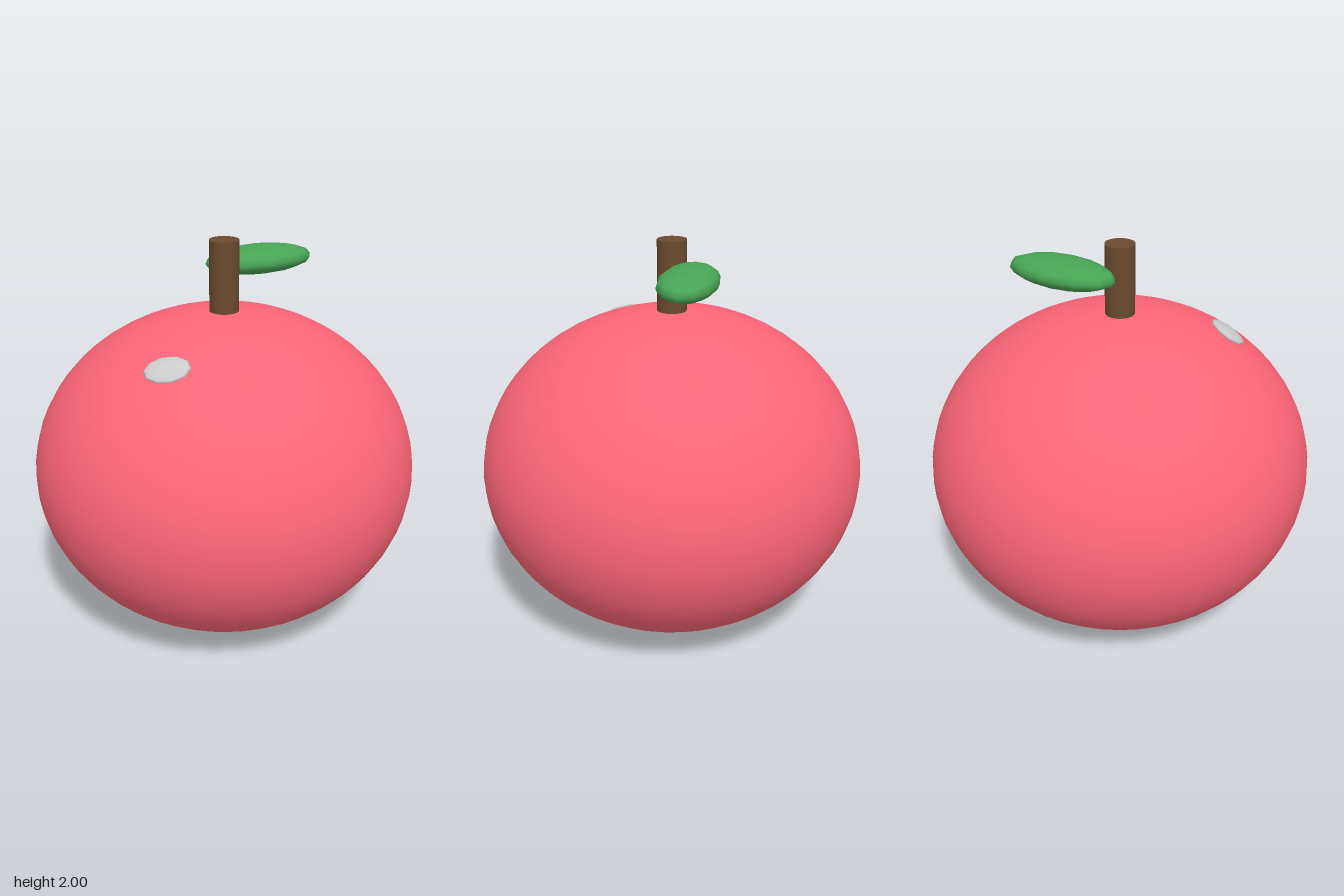
import * as THREE from 'three';

const paint = (color) => new THREE.MeshStandardMaterial({ color });

// Sphere stretched to the given radii, placed at a point
function ellipsoid(name, color, radii, position, across, down) {
  const geometry = new THREE.SphereGeometry(1, across, down).scale(...radii);
  const mesh = new THREE.Mesh(geometry, paint(color));
  mesh.name = name;
  mesh.position.set(...position);
  return mesh;
}

export function createModel() {
  const model = new THREE.Group();
  model.name = 'fruit';

  // Squashed round body
  const body = ellipsoid('body', 0xff6678, [0.97, 0.825, 0.97], [0, 0.828, 0], 48, 32);

  // Straight stem, sunk into the top of the body
  const stem = new THREE.Mesh(new THREE.CylinderGeometry(0.073, 0.073, 0.42, 24), paint(0x6b4a2e));
  stem.name = 'stem';
  stem.position.set(0, 1.79, 0);

  // Flattened leaf beside the stem
  const leaf = ellipsoid('leaf', 0x48a556, [0.29, 0.07, 0.145], [0.245, 1.855, -0.125], 12, 8);

  // Shine spot lying flat on the skin
  const shine = ellipsoid('shineSpot', 0xcccccc, [0.115, 0.02, 0.082], [-0.428, 1.517, 0.328], 10, 8);
  const normal = new THREE.Vector3(-0.385, 0.872, 0.302).normalize();
  const along = new THREE.Vector3(0.8, 0.145, 0.6).projectOnPlane(normal).normalize();
  const side = new THREE.Vector3().crossVectors(along, normal);
  shine.quaternion.setFromRotationMatrix(new THREE.Matrix4().makeBasis(along, normal, side));

  model.add(body, stem, leaf, shine);
  return model;
}
